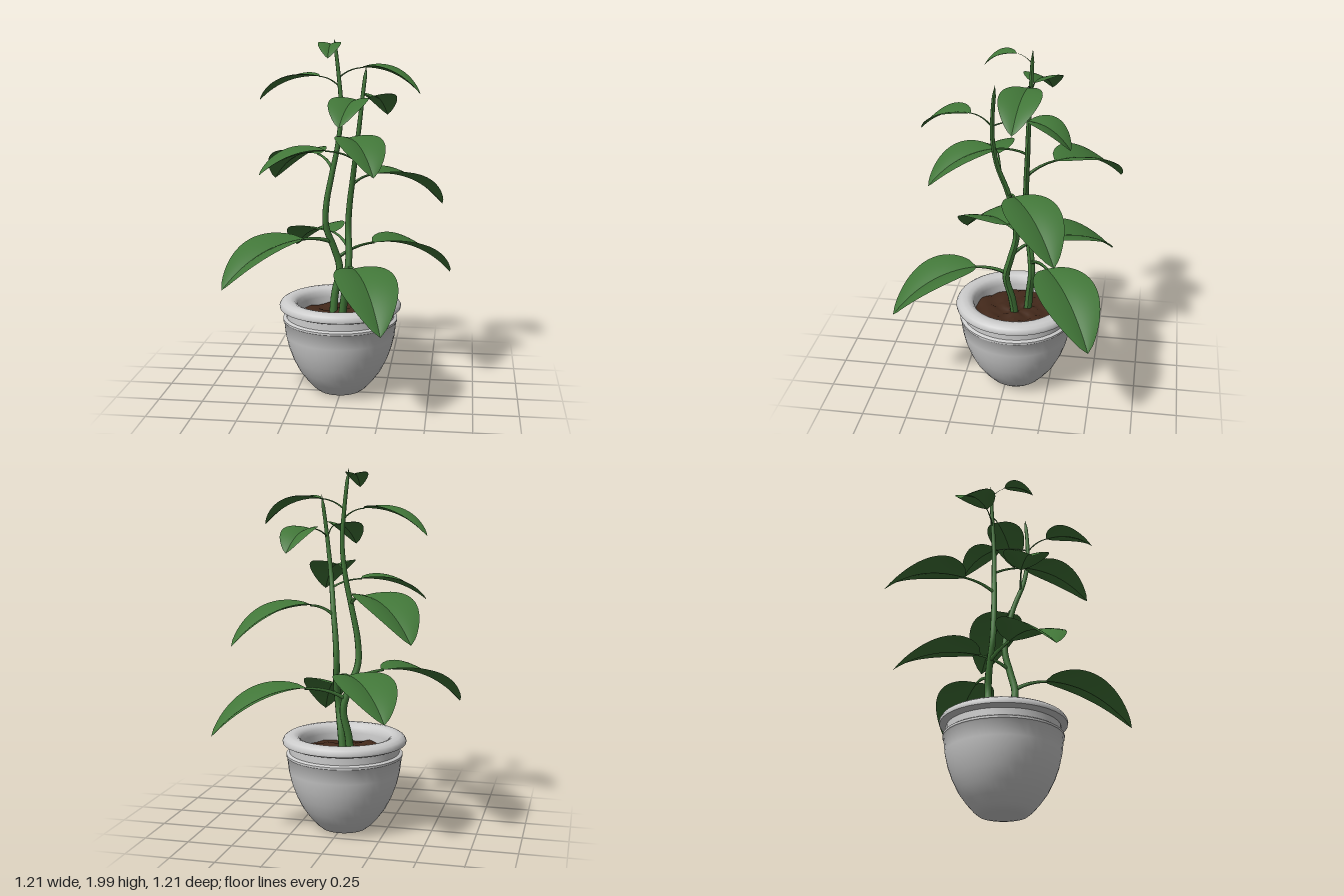
import * as THREE from 'three';
import { mergeGeometries, toCreasedNormals } from 'three/addons/utils/BufferGeometryUtils.js';

const V = (x, y, z) => new THREE.Vector3(x, y, z);
const potMat = new THREE.MeshStandardMaterial({ color: 0xcccccc, side: THREE.DoubleSide });
const soilMat = new THREE.MeshStandardMaterial({ color: 0x42281a });
const stemMat = new THREE.MeshStandardMaterial({ color: 0x417638 });
const leafMat = new THREE.MeshStandardMaterial({ color: 0x417638, side: THREE.DoubleSide });

function part(name, geometry, material) {
  const mesh = new THREE.Mesh(geometry, material);
  mesh.name = name;
  return mesh;
}

// Tube whose radius follows radiusAt(t) along the curve
function taperedTube(curve, segments, sides, radiusAt) {
  const geo = new THREE.TubeGeometry(curve, segments, 1, sides);
  const pos = geo.attributes.position, p = V(), c = V();
  for (let i = 0; i < pos.count; i++) {
    const t = Math.floor(i / (sides + 1)) / segments;
    curve.getPointAt(t, c);
    p.fromBufferAttribute(pos, i).sub(c).multiplyScalar(radiusAt(t)).add(c);
    pos.setXYZ(i, p.x, p.y, p.z);
  }
  geo.computeVertexNormals();
  return geo;
}

// Blade: two halves meeting in a crease along an arched midrib
function bladeGeometry(base, tip, halfWidth) {
  const shoulder = base.clone().lerp(tip, 0.58);
  shoulder.y = base.y + 0.01;
  const rib = new THREE.QuadraticBezierCurve3(base, shoulder, tip);
  const side = V(base.z - tip.z, 0, tip.x - base.x).normalize();
  const halves = [-1, 1].map((s) => {
    const geo = new THREE.PlaneGeometry(1, 1, 5, 18);
    const pos = geo.attributes.position;
    for (let i = 0; i < pos.count; i++) {
      const u = s < 0 ? pos.getX(i) - 0.5 : pos.getX(i) + 0.5;
      const t = THREE.MathUtils.clamp(pos.getY(i) + 0.5, 0, 1);
      const w = halfWidth * Math.pow(Math.max(0, Math.sin(Math.PI * Math.pow(t, 0.8))), 0.75);
      const normal = side.clone().cross(rib.getTangent(t));
      const a = Math.abs(u);
      const p = rib.getPoint(t)
        .addScaledVector(side, u * w)
        .addScaledVector(normal, w * (0.42 * a - 0.2 * a * a));
      pos.setXYZ(i, p.x, p.y, p.z);
    }
    geo.computeVertexNormals();
    return geo;
  });
  return mergeGeometries(halves);
}

function leaf([joint, base, tip, halfWidth]) {
  const group = new THREE.Group();
  group.name = 'leaf';
  const a = V(...joint), b = V(...base), c = V(...tip);
  const lift = a.clone().lerp(b, 0.45);
  lift.y = b.y - 0.003;
  const stalk = new THREE.QuadraticBezierCurve3(a, lift, b.clone().lerp(c, 0.03).setY(b.y));
  const r = 0.35 * halfWidth * halfWidth;
  group.add(
    part('leafStalk', taperedTube(stalk, 10, 6, (t) => r * (1.2 - 0.5 * t)), stemMat),
    part('leafBlade', bladeGeometry(b, c, halfWidth), leafMat));
  return group;
}

function stem(name, points) {
  const curve = new THREE.CatmullRomCurve3(points.map((p) => V(...p)));
  const radius = (t) => (t > 0.96 ? 0.0095 * (1 - t) / 0.04 + 0.0005 : 0.023 - 0.0135 * t);
  return part(name, taperedTube(curve, 50, 8, radius), stemMat);
}

export function createModel() {
  const model = new THREE.Group();
  model.name = 'pottedPlant';

  // Pot: bowl, neck, rolled rim and inner wall
  const pot = new THREE.Group();
  pot.name = 'pot';
  pot.position.set(-0.01, 0, -0.05);
  const profile = [
    [0, 0.01], [0.1, 0.005], [0.13, 0.01], [0.155, 0.03], [0.195, 0.075], [0.235, 0.13], [0.27, 0.2],
    [0.295, 0.27], [0.311, 0.34], [0.32, 0.42], [0.325, 0.425], [0.325, 0.437], [0.318, 0.442],
    [0.307, 0.445], [0.307, 0.485], [0.325, 0.49], [0.343, 0.498], [0.345, 0.512], [0.335, 0.53],
    [0.315, 0.542], [0.285, 0.545], [0.26, 0.537], [0.245, 0.52], [0.24, 0.49], [0.24, 0.41],
  ].map(([x, y]) => new THREE.Vector2(x, y));
  pot.add(part('potShell', toCreasedNormals(new THREE.LatheGeometry(profile, 40), 0.7), potMat));

  // Soil: disc with gentle lumps
  const soil = new THREE.RingGeometry(0.001, 0.243, 32, 10).rotateX(-Math.PI / 2);
  const sp = soil.attributes.position;
  for (let i = 0; i < sp.count; i++) {
    const x = sp.getX(i), z = sp.getZ(i);
    sp.setY(i, 0.45 + 0.009 * Math.sin(37 * x + 9 * z) * Math.cos(41 * z - 13 * x)
      + 0.006 * Math.sin(83 * x) * Math.sin(71 * z + 1));
  }
  soil.computeVertexNormals();
  pot.add(part('soil', soil, soilMat));
  model.add(pot);

  // Two winding stems
  model.add(
    stem('tallStem', [
      [-0.06, 0.42, -0.11], [-0.05, 0.55, -0.12], [-0.024, 0.7, -0.135], [-0.055, 0.82, -0.122],
      [-0.097, 0.95, -0.095], [-0.094, 1.08, -0.09], [-0.065, 1.24, -0.095], [-0.03, 1.42, -0.105],
      [-0.013, 1.6, -0.112], [-0.028, 1.8, -0.12], [-0.052, 1.995, -0.125]]),
    stem('shortStem', [
      [0.0, 0.42, -0.045], [0.015, 0.55, -0.028], [0.038, 0.7, 0.002], [0.042, 0.82, -0.025],
      [0.034, 0.95, -0.055], [0.042, 1.08, -0.045], [0.064, 1.24, -0.01], [0.088, 1.4, 0.042],
      [0.108, 1.55, 0.062], [0.124, 1.7, 0.058], [0.142, 1.858, 0.042]]));

  // Leaves: joint on stem, blade base, tip, half width
  const leaves = [
    // on the tall stem, bottom to top
    [[-0.035, 0.76, -0.13], [0.15, 0.83, -0.24], [0.6, 0.6, -0.51], 0.165],
    [[-0.075, 0.86, -0.11], [-0.2, 0.9, 0.02], [-0.6, 0.68, 0.345], 0.17],
    [[-0.06, 1.28, -0.097], [-0.155, 1.34, -0.24], [-0.48, 1.14, -0.595], 0.155],
    [[-0.03, 1.42, -0.105], [0.045, 1.475, 0.06], [0.215, 1.31, 0.39], 0.13],
    [[-0.02, 1.73, -0.117], [-0.13, 1.79, -0.125], [-0.485, 1.65, -0.185], 0.105],
    [[-0.03, 1.78, -0.12], [0.1, 1.84, -0.12], [0.425, 1.7, -0.085], 0.11],
    [[-0.045, 1.92, -0.123], [-0.058, 1.97, -0.04], [-0.054, 1.9, 0.13], 0.062],
    // on the short stem, bottom to top
    [[0.038, 0.72, 0], [0.085, 0.775, 0.16], [0.275, 0.535, 0.605], 0.165],
    [[0.042, 0.84, -0.03], [-0.06, 0.9, -0.17], [-0.345, 0.73, -0.57], 0.16],
    [[0.058, 1.2, -0.02], [0.17, 1.26, -0.06], [0.55, 1.055, -0.32], 0.15],
    [[0.08, 1.35, 0.025], [-0.07, 1.4, 0.06], [-0.42, 1.28, 0.195], 0.125],
    [[0.115, 1.62, 0.06], [0.105, 1.69, 0.175], [0.045, 1.57, 0.455], 0.102],
    [[0.118, 1.63, 0.06], [0.15, 1.68, -0.13], [0.225, 1.56, -0.36], 0.1],
  ];
  leaves.forEach((spec) => model.add(leaf(spec)));
  return model;
}
